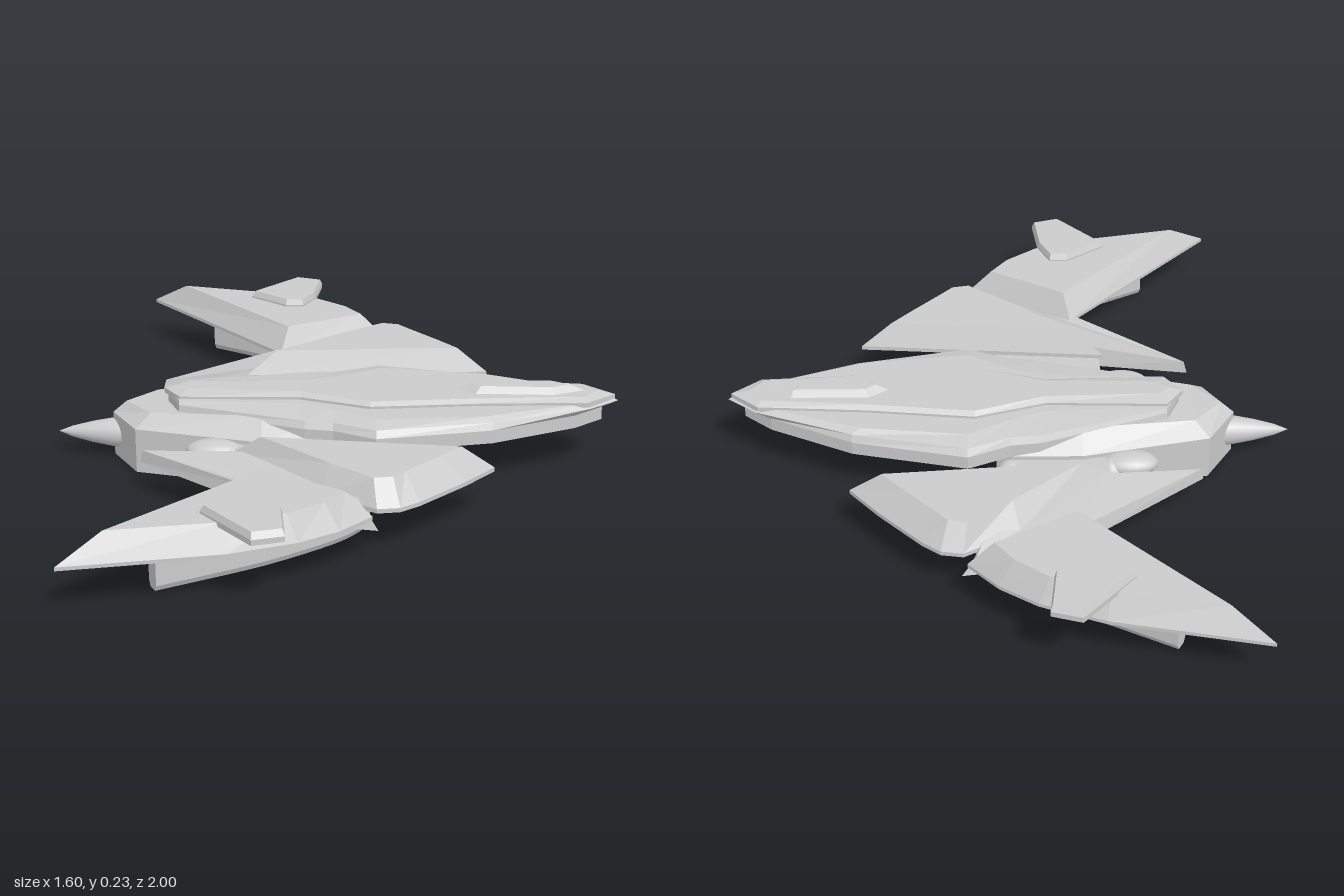
import * as THREE from 'three';

const material = new THREE.MeshStandardMaterial({ color: 0xcccccc, flatShading: true, side: THREE.DoubleSide });
const smooth = new THREE.MeshStandardMaterial({ color: 0xcccccc });

// Solid through stacked outlines: levels = [[y, [[x, z, optional y], ...]], ...]
function loft(levels, side = 1) {
  let rings = levels.map(([y, pts]) => pts.map(([x, z, py]) => new THREE.Vector3(x, py ?? y, z * side)));
  const flat = (ring) => ring.map((p) => new THREE.Vector2(p.x, p.z));
  if (THREE.ShapeUtils.area(flat(rings[0])) < 0) rings = rings.map((r) => r.reverse());
  const out = [];
  const tri = (...v) => v.forEach((p) => out.push(p.x, p.y, p.z));
  for (let k = 0; k + 1 < rings.length; k++) {
    const a = rings[k], b = rings[k + 1];
    a.forEach((p, i) => {
      const j = (i + 1) % a.length;
      tri(p, b[i], a[j]);
      tri(a[j], b[i], b[j]);
    });
  }
  const cap = (ring, up) => {
    for (const f of THREE.ShapeUtils.triangulateShape(flat(ring), [])) {
      const [p, q, r] = f.map((i) => ring[i]);
      const facesDown = (q.x - p.x) * (r.z - p.z) - (q.z - p.z) * (r.x - p.x) > 0;
      if (facesDown === up) tri(p, r, q); else tri(p, q, r);
    }
  };
  cap(rings[0], false);
  cap(rings[rings.length - 1], true);
  const g = new THREE.BufferGeometry();
  g.setAttribute('position', new THREE.Float32BufferAttribute(out, 3));
  g.computeVertexNormals();
  return g;
}

// Complete a half outline that starts and ends on the centre line
const mirror = (half) => [...half, ...half.slice(1, -1).reverse().map(([x, z, y]) => [x, -z, y])];

// Shrink an outline toward its average point
function shrink(pts, s) {
  const cx = pts.reduce((t, p) => t + p[0], 0) / pts.length;
  const cz = pts.reduce((t, p) => t + p[1], 0) / pts.length;
  return pts.map(([x, z]) => [cx + (x - cx) * s, cz + (z - cz) * s]);
}

export function createModel() {
  const group = new THREE.Group();
  const add = (name, geometry, mat = material) => {
    const mesh = new THREE.Mesh(geometry, mat);
    mesh.name = name;
    group.add(mesh);
    return mesh;
  };

  // Main hull: hollow from below, chamfered roof
  const hull = mirror([[-0.64, 0], [-0.56, 0.13], [-0.2, 0.21], [0.0, 0.21], [0.04, 0.19], [0.04, 0]]);
  const roof = mirror([[-0.6, 0, 0.165], [-0.52, 0.09, 0.165], [-0.2, 0.15, 0.185], [0.0, 0.15, 0.19], [0.04, 0.14, 0.19], [0.04, 0, 0.19]]);
  const hollow = shrink(hull, 0.96);
  add('hull', loft([[0.115, hollow], [0, hollow], [0, hull], [0.13, hull], [0.18, roof]]));

  // Long nose plate with a shallow recess underneath
  const nose = [[-0.48, 0], [-0.44, 0.09], [-0.08, 0.2], [0.0, 0.21], [0.12, 0.265], [0.44, 0.19], [0.72, 0.07], [0.8, 0]];
  const noseTop = [[-0.48, 0], [-0.44, 0.08], [-0.1, 0.09], [0.0, 0.13], [0.12, 0.2], [0.42, 0.165], [0.72, 0.05], [0.78, 0]];
  const noseLow = mirror(nose.map(([x, z]) => [x > 0.7 ? x - 0.045 : x, z]));
  const noseRim = mirror(nose.map(([x, z]) => [x, z * 0.95]));
  const recess = shrink(noseLow, 0.8);
  add('nosePlate', loft([[0.148, recess], [0.13, recess], [0.13, noseLow], [0.168, noseLow], [0.188, noseRim], [0.2, mirror(noseTop)]]));

  // Raised spine and cockpit
  const spine = [[-0.49, 0], [-0.44, 0.07], [-0.1, 0.06], [0.1, 0.125], [0.4, 0.09], [0.71, 0.07], [0.79, 0]];
  const spineTop = [[-0.45, 0], [-0.42, 0.03], [-0.1, 0.04], [0.1, 0.11], [0.4, 0.075], [0.7, 0.05], [0.74, 0]];
  add('spine', loft([[0.192, mirror(spine)], [0.207, mirror(spine)], [0.217, mirror(spineTop)]]));
  add('cockpit', loft([
    [0.21, mirror([[0.33, 0], [0.39, 0.045], [0.62, 0.045], [0.72, 0]])],
    [0.235, mirror([[0.38, 0], [0.41, 0.025], [0.61, 0.025], [0.66, 0]])],
  ]));

  // Engine tube ending in the tail cone
  const profile = [[0, 0], [0.042, 0], [0.046, 0.1], [0.047, 0.19], [0.042, 0.25], [0.031, 0.31], [0.016, 0.37], [0, 0.41]];
  const cone = add('tailCone', new THREE.LatheGeometry(profile.map(([r, y]) => new THREE.Vector2(r, y)), 24), smooth);
  cone.rotation.z = Math.PI / 2;
  cone.position.set(-0.39, 0.068, 0);

  // Boom outer edge, sampled once; the wall follows it with a thin inner edge
  const path = [[0.01, 0.2], [0.05, 0.32], [0.11, 0.47], [0.04, 0.59], [-0.15, 0.74], [-0.41, 0.89]];
  const curve = new THREE.CatmullRomCurve3(path.map(([x, z]) => new THREE.Vector3(x, 0, z)), false, 'catmullrom', 0.4);
  const edge = curve.getPoints(24);
  const wall = (inset, width) => {
    const offset = (d) => edge.map((p, i) => {
      const t = curve.getTangent(i / 24);
      return [p.x - t.z * d, p.z + t.x * d];
    });
    return [...offset(inset), ...offset(width - inset).reverse()];
  };
  const rootPlate = [[-0.27, 0.18], [0.0, 0.18], [0.03, 0.3], [0.08, 0.46], [0.02, 0.58], [-0.12, 0.52], [-0.27, 0.36]];

  const outer = [[-0.64, 1.0], [-0.19, 0.5], [0.12, 0.68], [0.04, 0.77], [-0.06, 0.84], [-0.23, 0.91]];
  const outerTop = [[-0.53, 0.935], [-0.17, 0.55], [0.05, 0.68], [0.0, 0.75], [-0.09, 0.82], [-0.24, 0.875]];
  const inner = [[-0.28, 0.3], [0.44, 0.36], [0.36, 0.46], [0.24, 0.59], [0.19, 0.63], [0.13, 0.64], [-0.02, 0.55]];
  const innerTop = [[-0.19, 0.335], [0.35, 0.38], [0.29, 0.45], [0.2, 0.55], [0.17, 0.585], [0.12, 0.595], [0.0, 0.5]];
  const fin = [[-0.305, 0.825], [-0.19, 0.74], [-0.135, 0.74], [-0.1, 0.82], [-0.085, 0.96], [-0.165, 0.985]];

  for (const side of [1, -1]) {
    const label = side > 0 ? 'right' : 'left';
    // Curved boom: thin wall under the wings and a roof plate at the root
    add(label + 'BoomWall', loft([[0.012, wall(0.008, 0.045)], [0.028, wall(0, 0.045)], [0.1, wall(0, 0.045)], [0.118, wall(0.012, 0.045)]], side));
    add(label + 'BoomRoof', loft([[0.095, rootPlate], [0.118, rootPlate]], side));
    add(label + 'OuterWing', loft([[0.12, outer], [0.13, outer], [0.2, outerTop]], side));
    add(label + 'InnerWing', loft([[0.12, inner], [0.132, inner], [0.2, innerTop]], side));
    // Low pointed slab between the two wings
    add(label + 'WingSlab', loft([
      [0.09, [[-0.53, 0.265], [-0.24, 0.31], [0.11, 0.63], [0.135, 0.68], [0.07, 0.67], [-0.2, 0.53]]],
      [0.15, [[-0.52, 0.27, 0.126], [-0.24, 0.32], [0.08, 0.61], [0.1, 0.665, 0.13], [0.05, 0.655, 0.13], [-0.2, 0.52, 0.135]]],
    ], side));
    add(label + 'Fin', loft([[0.19, fin], [0.205, fin], [0.222, shrink(fin, 0.92)]], side));

    // Ball joints and rounded pods along the hull
    for (const [x, z] of [[0.0, 0.22], [-0.28, 0.21]]) {
      add(label + 'BallJoint', new THREE.SphereGeometry(0.042, 20, 14), smooth).position.set(x, 0.08, side * z);
    }
    const pod = add(label + 'Pod', new THREE.SphereGeometry(0.08, 24, 16), smooth);
    pod.scale.set(1, 0.4, 0.6);
    pod.position.set(-0.33, 0.1, side * 0.2);
  }
  return group;
}
